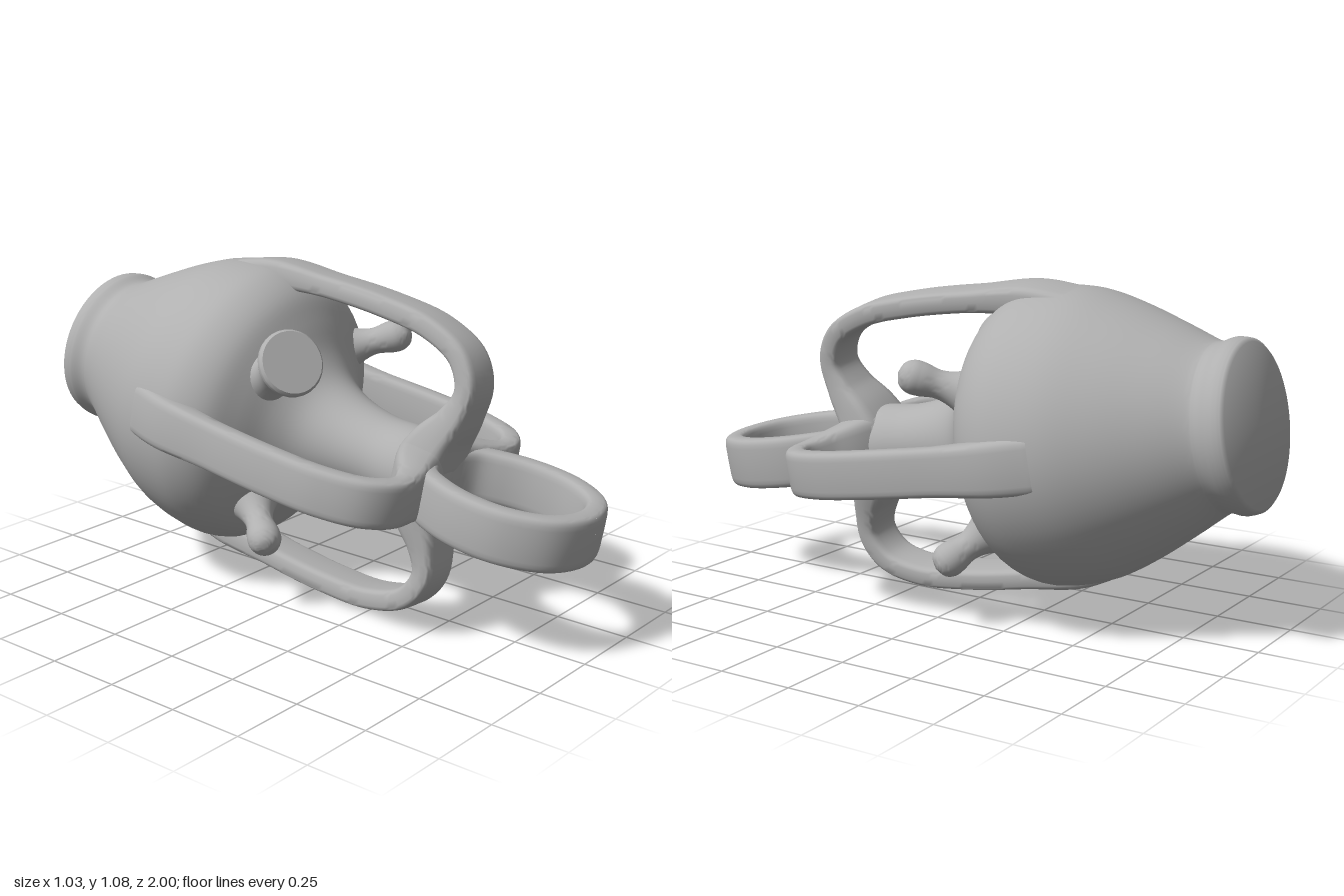
import * as THREE from 'three';
import { toCreasedNormals } from 'three/addons/utils/BufferGeometryUtils.js';

const V2 = (a) => new THREE.Vector2(a[0], a[1]);

// Smooth a list of [radius, height] points into a lathe profile
function smoothProfile(points, n) {
  return new THREE.SplineCurve(points.map(V2)).getPoints(n).map((p) => new THREE.Vector2(Math.max(p.x, 0), p.y));
}

// Sweep a rounded strap along a flat path of [out, forward] points; size(t) gives [half thickness, half width]
function strap(points, closed, steps, size) {
  const curve = new THREE.CatmullRomCurve3(points.map(([o, f]) => new THREE.Vector3(0, o, f)), closed);
  const sides = 24, pos = [], index = [];
  for (let i = 0; i <= steps; i++) {
    const t = i / steps;
    const p = curve.getPointAt(t), d = curve.getTangentAt(t);
    const [h, w] = size(t);
    for (let j = 0; j < sides; j++) {
      const a = (j / sides) * Math.PI * 2;
      const c = Math.cos(a), s = Math.sin(a);
      const u = h * Math.sign(c) * Math.abs(c) ** 0.5;
      const v = w * Math.sign(s) * Math.abs(s) ** 0.35;
      pos.push(v, p.y - d.z * u, p.z + d.y * u);
    }
  }
  for (let i = 0; i < steps; i++) {
    for (let j = 0; j < sides; j++) {
      const k = (j + 1) % sides;
      const a = i * sides + j, b = i * sides + k;
      index.push(a, b, a + sides, b, b + sides, a + sides);
    }
  }
  const g = new THREE.BufferGeometry();
  g.setAttribute('position', new THREE.Float32BufferAttribute(pos, 3));
  g.setIndex(index);
  return toCreasedNormals(g, 0.8);
}

export function createModel() {
  const model = new THREE.Group();
  const clay = new THREE.MeshStandardMaterial({ color: 0xb0b0b0 });
  clay.name = 'grey clay';

  const add = (parent, name, geometry) => {
    const mesh = new THREE.Mesh(geometry, clay);
    mesh.name = name;
    parent.add(mesh);
    return mesh;
  };

  // Everything on the main axis shares one tilted frame, with forward as local +z
  const vessel = new THREE.Group();
  vessel.name = 'vessel';
  vessel.position.set(-0.02, 0.6, -0.3);
  const axis = new THREE.Vector3(0.03, -0.155, 1).normalize();
  vessel.quaternion.setFromUnitVectors(new THREE.Vector3(0, 0, 1), axis);
  model.add(vessel);

  // Jar body, flowing into the central column and hub
  const profile = [
    new THREE.Vector2(0, -0.665),
    new THREE.Vector2(0.25, -0.665),
    ...smoothProfile([
      [0.262, -0.655], [0.268, -0.62], [0.258, -0.575], [0.268, -0.54], [0.325, -0.44],
      [0.4, -0.3], [0.455, -0.17], [0.476, -0.04], [0.468, 0.05], [0.425, 0.13],
      [0.345, 0.19], [0.25, 0.25], [0.185, 0.32], [0.147, 0.42], [0.13, 0.54],
      [0.135, 0.65], [0.13, 0.72], [0.09, 0.775], [0, 0.79],
    ], 90),
  ];
  const body = new THREE.LatheGeometry(profile, 64);
  body.rotateX(Math.PI / 2);
  add(vessel, 'jarBody', toCreasedNormals(body, 0.7));

  // Four strap handles from the shoulder round to the hub
  const handlePath = [
    [0.41, -0.12], [0.452, 0.02], [0.468, 0.2], [0.472, 0.45], [0.455, 0.63],
    [0.4, 0.755], [0.31, 0.803], [0.21, 0.78], [0.12, 0.735], [0.02, 0.7],
  ];
  const handleSize = (t) => {
    const hub = THREE.MathUtils.smoothstep(t, 0.76, 1);
    const root = 1 - THREE.MathUtils.smoothstep(t, 0.02, 0.28);
    return [0.036 + 0.045 * hub + 0.02 * root, 0.076 + 0.045 * hub + 0.012 * root];
  };
  const handle = strap(handlePath, false, 80, handleSize);
  const handles = { topHandle: -8, leftHandle: -92.5, bottomHandle: -187, rightHandle: -275 };
  for (const [name, degrees] of Object.entries(handles)) {
    add(vessel, name, handle).rotation.z = THREE.MathUtils.degToRad(degrees);
  }

  // Front finger ring, lying flat across the hub
  const half = [[0.13, 1.235], [0.205, 1.12], [0.217, 0.99], [0.19, 0.88], [0.135, 0.79]];
  const ringPath = [[0, 1.277], ...half, [0, 0.745], ...half.slice().reverse().map(([o, f]) => [-o, f])];
  const ring = strap(ringPath, true, 96, () => [0.036, 0.086]);
  add(vessel, 'frontRing', ring).rotation.z = THREE.MathUtils.degToRad(-93);

  // Knobs on the front shoulder, each turned from its base to its tip
  function knob(name, base, tip, points, crease) {
    const from = new THREE.Vector3(...base), way = new THREE.Vector3(...tip).sub(from);
    const length = way.length();
    const g = new THREE.LatheGeometry(points.map(([r, h]) => new THREE.Vector2(r, h * length)), 28);
    const mesh = add(model, name, toCreasedNormals(g, crease));
    mesh.position.copy(from);
    mesh.quaternion.setFromUnitVectors(new THREE.Vector3(0, 1, 0), way.normalize());
  }

  // Wide flat-ended spool
  const spool = smoothProfile([[0.15, 0], [0.1, 0.2], [0.07, 0.42], [0.062, 0.58], [0.078, 0.76], [0.102, 0.9], [0.106, 0.96], [0.098, 1]], 28);
  knob('spoolKnob', [-0.18, 0.73, -0.15], [-0.3, 0.865, 0.105],
    [...spool.map((p) => [p.x, p.y]), [0, 1]], 0.75);

  // Three small ball-ended knobs
  const ball = smoothProfile([[0.13, 0], [0.085, 0.22], [0.055, 0.42], [0.045, 0.58], [0.053, 0.74], [0.053, 0.86], [0.035, 0.96], [0, 1]], 32)
    .map((p) => [p.x, p.y]);
  knob('upperLeftKnob', [0.22, 0.74, -0.19], [0.37, 0.825, 0.06], ball, 1);
  knob('lowerLeftKnob', [0.18, 0.36, -0.22], [0.345, 0.21, -0.06], ball, 1);
  knob('lowerRightKnob', [-0.18, 0.36, -0.19], [-0.345, 0.245, 0.035], ball, 1);

  return model;
}
